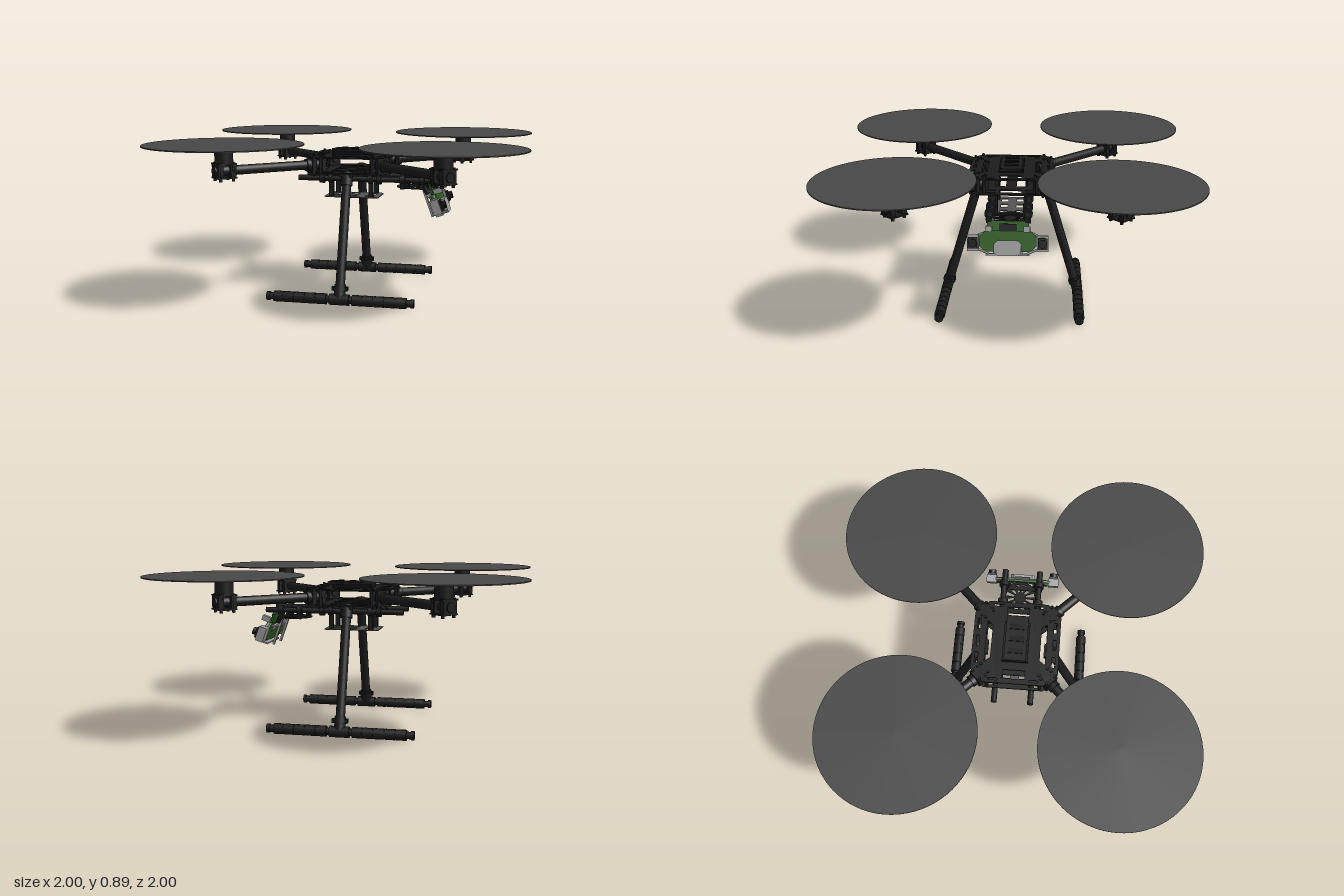
import * as THREE from 'three';

const mat = (color) => new THREE.MeshStandardMaterial({ color, side: THREE.DoubleSide });
const DARK = mat(0x1c1c1c), DISC = mat(0x484848), SILVER = mat(0x999999), GREEN = mat(0x2a5a1c), BLACK = mat(0x101010);

function add(parent, name, geo, material, x = 0, y = 0, z = 0) {
  const m = new THREE.Mesh(geo, material);
  m.name = name;
  m.position.set(x, y, z);
  parent.add(m);
  return m;
}
const box = (p, name, m, w, h, d, x, y, z) => add(p, name, new THREE.BoxGeometry(w, h, d), m, x, y, z);
const cyl = (p, name, m, r, h, x, y, z, seg = 24) => add(p, name, new THREE.CylinderGeometry(r, r, h, seg), m, x, y, z);

// Round rod between two points
function rod(p, name, m, r, a, b, seg = 20) {
  const A = new THREE.Vector3(...a), B = new THREE.Vector3(...b), d = B.clone().sub(A);
  const mesh = cyl(p, name, m, r, d.length(), 0, 0, 0, seg);
  mesh.position.copy(A).add(B).multiplyScalar(0.5);
  mesh.quaternion.setFromUnitVectors(new THREE.Vector3(0, 1, 0), d.normalize());
  return mesh;
}

const poly = (pts, Type = THREE.Shape) => new Type(pts.map(([x, y]) => new THREE.Vector2(x, y)));
const octagon = (w, h, c) => [[w, h - c], [w - c, h], [c - w, h], [-w, h - c], [-w, c - h], [c - w, -h], [w - c, -h], [w, c - h]];
const rect = (x, y, w, h) => [[x - w, y - h], [x - w, y + h], [x + w, y + h], [x + w, y - h]];

// Horizontal plate with cut-outs, lying at height y
function plate(p, name, m, outline, holes, t, x, y, z = 0) {
  const s = poly(outline);
  holes.forEach((h) => s.holes.push(poly(h, THREE.Path)));
  const geo = new THREE.ExtrudeGeometry(s, { depth: t, bevelEnabled: false });
  return add(p, name, geo.rotateX(-Math.PI / 2), m, x, y, z);
}

function bodyHoles(upper) {
  const holes = [];
  for (const s of [-1, 1]) {
    holes.push(rect(s * 0.185, 0, 0.025, 0.06));
    holes.push([[-0.12, s * 0.165], [-0.095, s * 0.135], [0.095, s * 0.135], [0.12, s * 0.165]]);
    for (const k of [-1, 0, 1]) holes.push(rect(k * 0.1, s * 0.21, 0.03, 0.008));
    for (const k of [-1, 1]) holes.push(rect(s * 0.217, k * 0.11, 0.006, 0.025));
    if (!upper) holes.push(rect(0, s * 0.06, 0.1, 0.03));
  }
  return holes;
}

function body(g) {
  const b = new THREE.Group();
  b.name = 'body';
  g.add(b);
  const outline = octagon(0.238, 0.238, 0.075);
  plate(b, 'upperPlate', DARK, outline, bodyHoles(true), 0.008, 0, 0.79);
  plate(b, 'lowerPlate', DARK, outline, bodyHoles(false), 0.008, 0, 0.705);
  // Electronics tray and lid on the upper plate
  box(b, 'electronicsBox', BLACK, 0.23, 0.018, 0.14, 0.0, 0.807, 0);
  box(b, 'electronicsLid', DARK, 0.26, 0.016, 0.12, 0.015, 0.822, 0);
  for (let i = 0; i < 3; i++) box(b, 'connector', BLACK, 0.03, 0.006, 0.08, -0.06 + i * 0.07, 0.832, 0);
  // Spacers between the plates
  for (const sx of [-1, 1]) for (const sz of [-1, 1]) {
    cyl(b, 'spacer', DARK, 0.009, 0.08, sx * 0.225, 0.75, sz * 0.145, 10);
    cyl(b, 'spacer', DARK, 0.009, 0.08, sx * 0.145, 0.75, sz * 0.225, 10);
    cyl(b, 'bolt', DARK, 0.008, 0.008, sx * 0.2, 0.801, sz * 0.15, 8);
    cyl(b, 'bolt', DARK, 0.008, 0.008, sx * 0.15, 0.801, sz * 0.2, 8);
  }
}

// Arm pointing along local +x, with clamps, motor and propeller disc
function arm(g, angle) {
  const a = new THREE.Group();
  a.name = 'arm';
  a.rotation.y = angle;
  g.add(a);
  const R = 0.577 * Math.SQRT2;
  rod(a, 'armTube', DARK, 0.026, [0.2, 0.752, 0], [R + 0.06, 0.752, 0]);
  for (const x of [0.225, 0.285]) {
    box(a, 'armClamp', DARK, 0.026, 0.09, 0.075, x, 0.752, 0);
    for (const s of [-1, 1]) cyl(a, 'clampBolt', DARK, 0.008, 0.115, x, 0.75, s * 0.03, 8);
  }
  rod(a, 'armCollar', DARK, 0.034, [0.3, 0.752, 0], [0.325, 0.752, 0]);
  for (const s of [-1, 1]) {
    box(a, 'motorClamp', DARK, 0.03, 0.08, 0.085, R + s * 0.036, 0.752, 0);
    for (const k of [-1, 1]) cyl(a, 'motorBolt', DARK, 0.009, 0.1, R + s * 0.036, 0.748, k * 0.036, 8);
  }
  for (const y of [0.716, 0.79]) box(a, 'motorPlate', DARK, 0.104, 0.008, 0.098, R, y, 0);
  cyl(a, 'motor', DARK, 0.049, 0.092, R, 0.84, 0, 32);
  cyl(a, 'propellerDisc', DISC, 0.423, 0.006, R, 0.89, 0, 72);
}

// Splayed leg with a padded skid, s = side along z
function landingLeg(g, s) {
  const l = new THREE.Group();
  l.name = 'landingLeg';
  g.add(l);
  const at = (t) => [0, 0.7 - 0.665 * t, s * (0.192 + 0.2 * t)];
  rod(l, 'legTube', DARK, 0.026, at(0), at(1));
  rod(l, 'legSocket', DARK, 0.034, at(-0.02), at(0.09));
  rod(l, 'footSocket', DARK, 0.031, at(0.88), at(1));
  rod(l, 'footCollar', DARK, 0.037, at(0.9), at(0.935));
  box(l, 'legBracket', DARK, 0.08, 0.022, 0.07, 0, 0.7, s * 0.19);
  box(l, 'collarScrews', DARK, 0.09, 0.022, 0.022, 0, 0.092, s * 0.376);
  const y = 0.034, z = s * 0.392;
  rod(l, 'skidTube', DARK, 0.02, [-0.41, y, z], [0.41, y, z]);
  rod(l, 'skidTee', DARK, 0.031, [-0.055, y, z], [0.055, y, z]);
  for (const k of [-1, 1]) {
    for (let i = 0; i < 5; i++) {
      const x = 0.072 + i * 0.061;
      rod(l, 'skidPad', DARK, 0.03, [k * x, y, z], [k * (x + 0.055), y, z]);
    }
    rod(l, 'padCore', DARK, 0.026, [k * 0.075, y, z], [k * 0.37, y, z]);
    rod(l, 'skidCap', DARK, 0.025, [k * 0.395, y, z], [k * 0.413, y, z]);
  }
}

// Twin rails under the body, with hangers and battery tray
function rails(g) {
  const r = new THREE.Group();
  r.name = 'payloadRails';
  g.add(r);
  for (const s of [-1, 1]) {
    const z = s * 0.1;
    rod(r, 'rail', DARK, 0.016, [-0.305, 0.665, z], [0.5, 0.665, z]);
    for (const x of [-0.165, 0.165, 0.3, 0.41]) {
      rod(r, 'railRing', DARK, 0.028, [x - 0.014, 0.665, z], [x + 0.014, 0.665, z]);
      const up = x < 0.2;
      box(r, 'railHanger', DARK, 0.024, 0.05, 0.04, x, up ? 0.69 : 0.64, z);
    }
    for (const x of [-0.115, 0.115]) {
      box(r, 'trayPost', DARK, 0.026, 0.105, 0.02, x, 0.61, z * 0.85);
      rod(r, 'trayRing', DARK, 0.024, [x - 0.013, 0.665, z], [x + 0.013, 0.665, z]);
    }
  }
  plate(r, 'batteryTray', mat(0x555555), octagon(0.158, 0.1, 0.015),
    [-0.1, 0, 0.1].flatMap((x) => [-1, 1].map((k) => rect(x, k * 0.045, 0.025, 0.02))), 0.005, 0, 0.555);
  // Round damper plate with radial slots
  const ring = (r0) => Array.from({ length: 40 }, (_, i) => [r0 * Math.cos(i * Math.PI / 20), r0 * Math.sin(i * Math.PI / 20)]);
  const slots = Array.from({ length: 12 }, (_, i) => {
    const a = (i + 0.5) * Math.PI / 6;
    return [[0.035, -0.15], [0.085, -0.16], [0.085, 0.16], [0.035, 0.15]]
      .map(([d, o]) => [d * Math.cos(a + o), d * Math.sin(a + o)]);
  });
  plate(r, 'damperPlate', DARK, ring(0.1), slots, 0.006, 0.352, 0.614, -0.005);
  for (const x of [0.3, 0.41]) box(r, 'damperCrossbar', DARK, 0.024, 0.008, 0.2, x, 0.619, 0);
}

// Tilted sensor head looking along +x
function sensor(g) {
  const c = new THREE.Group();
  c.name = 'sensorHead';
  c.position.set(0.475, 0.545, 0);
  c.rotation.z = 0.35;
  g.add(c);
  const bar = new THREE.ExtrudeGeometry(poly(octagon(0.15, 0.055, 0.03)), { depth: 0.03, bevelEnabled: false });
  add(c, 'mainBoard', bar.rotateY(Math.PI / 2), GREEN, 0, -0.01, 0);
  box(c, 'upperBoard', GREEN, 0.012, 0.075, 0.22, 0.01, 0.06, 0);
  box(c, 'processor', BLACK, 0.02, 0.04, 0.09, 0.025, 0.062, 0);
  for (const s of [-1, 1]) {
    box(c, 'upperBlock', SILVER, 0.05, 0.03, 0.035, 0.045, 0.055, s * 0.1);
    // Side camera pods
    box(c, 'sidePod', SILVER, 0.045, 0.085, 0.06, 0.02, -0.02, s * 0.183);
    box(c, 'podFace', DARK, 0.014, 0.06, 0.05, 0.048, -0.02, s * 0.183);
    rod(c, 'sideLens', BLACK, 0.022, [0.05, -0.02, s * 0.183], [0.075, -0.02, s * 0.183]);
    rod(c, 'podBrace', SILVER, 0.006, [0.02, 0.02, s * 0.16], [0.02, 0.045, s * 0.1], 8);
    rod(c, 'lowerBrace', SILVER, 0.006, [0.03, -0.05, s * 0.16], [0.03, -0.075, s * 0.1], 8);
    // Struts up to the rails
    box(c, 'strut', SILVER, 0.012, 0.16, 0.02, -0.035, 0.0, s * 0.07);
    rod(c, 'strutBrace', SILVER, 0.006, [-0.035, 0.06, s * 0.07], [0.01, -0.02, s * 0.07], 8);
    rod(g, 'sensorHanger', DARK, 0.014, [0.41, 0.64, s * 0.09], [0.44, 0.59, s * 0.075], 12);
  }
  const face = new THREE.ExtrudeGeometry(poly(octagon(0.072, 0.04, 0.018)), { depth: 0.045, bevelEnabled: false });
  add(c, 'centreHousing', face.rotateY(Math.PI / 2), SILVER, 0.012, -0.045, 0);
  box(c, 'bottomFrame', SILVER, 0.04, 0.01, 0.23, 0.01, -0.08, 0);
  box(c, 'topFrame', SILVER, 0.03, 0.008, 0.24, 0.0, 0.03, 0);
}

export function createModel() {
  const g = new THREE.Group();
  g.name = 'quadcopter';
  body(g);
  for (let i = 0; i < 4; i++) arm(g, Math.PI / 4 + i * Math.PI / 2);
  for (const s of [-1, 1]) landingLeg(g, s);
  rails(g);
  sensor(g);
  return g;
}
